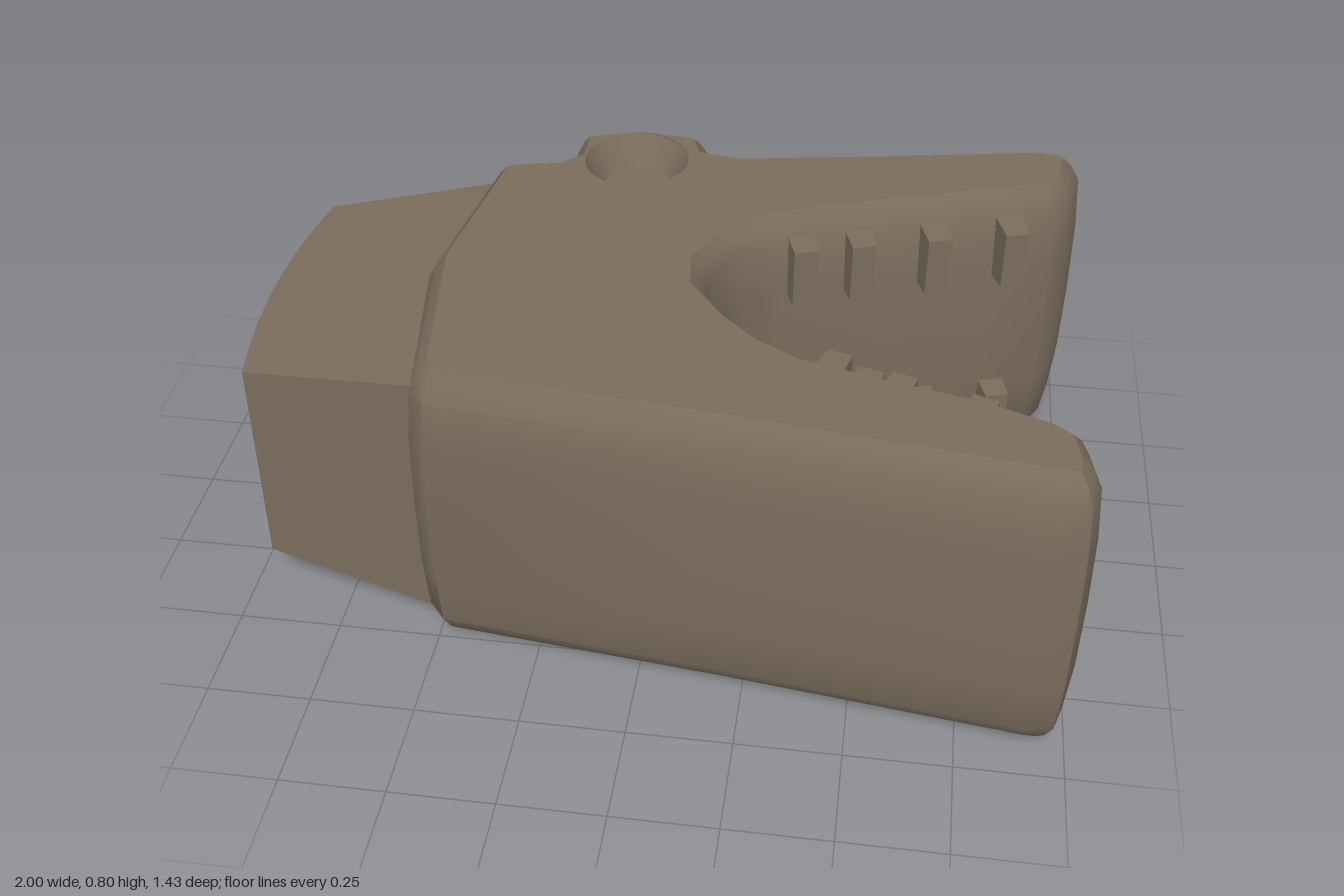
import * as THREE from 'three';
import { toCreasedNormals } from 'three/addons/utils/BufferGeometryUtils.js';

const HOLE = { x: -0.16, z: -0.51, rim: 0.135, floor: 0.09, depth: 0.08, sides: 28 };
const LOW = 0.008, HIGH = 0.79;
const tilt = (x) => 0.015 * x; // the body rises slightly towards the jaw tips

// Plan outline of the open jaws as [x, z], counterclockwise seen from above
const OUTLINE = [
  [-0.54, 0.46], [-0.49, 0.52], [0.2, 0.61], [0.91, 0.71], [0.975, 0.695], [1.0, 0.62], [0.975, 0.5],
  [0.91, 0.445], [0.75, 0.38], [0.55, 0.33], [0.36, 0.275], [0.27, 0.22], [0.19, 0.14], [0.11, 0.03],
  [0.1, -0.05], [0.15, -0.165], [0.25, -0.235], [0.5, -0.32], [0.78, -0.41], [0.92, -0.455],
  [0.965, -0.51], [0.995, -0.65], [0.96, -0.7], [0.87, -0.72], [0.5, -0.66], [0.1, -0.6],
  [0.035, -0.61], [0.02, -0.67], [-0.03, -0.695], [-0.17, -0.715], [-0.35, -0.65],
  [-0.355, -0.545], [-0.38, -0.52], [-0.49, -0.5], [-0.54, -0.46], [-0.605, 0],
];

// Moves every outline point inwards by d
function inset(points, d) {
  const n = points.length;
  const normal = (a, b) => new THREE.Vector2(a[1] - b[1], b[0] - a[0]).normalize();
  return points.map((p, i) => {
    const v = normal(points[(i + n - 1) % n], p).add(normal(p, points[(i + 1) % n])).normalize();
    return [p[0] - v.x * d, p[1] - v.y * d];
  });
}

function bodyGeometry() {
  const n = OUTLINE.length, pos = [], index = [];
  const push = ([x, z], y) => pos.push(x, y + tilt(x), z);

  // Rounded wall: stacked outlines, tucked in near the bottom and top
  const edge = [[0, 0.06], [0.025, 0.036], [0.065, 0.014], [0.2, 0.003]];
  const layers = [
    ...edge.map(([h, d]) => [LOW + h, d]),
    [(LOW + HIGH) / 2, 0],
    ...edge.map(([h, d]) => [HIGH - h, d]).reverse(),
  ];
  layers.forEach(([y, d]) => inset(OUTLINE, d).forEach((p) => push(p, y)));
  for (let j = 0; j < layers.length - 1; j++) {
    for (let i = 0; i < n; i++) {
      const k = (i + 1) % n, a = j * n + i, b = j * n + k;
      index.push(a, b, b + n, a, b + n, a + n);
    }
  }

  // Flat top and bottom, each with the round socket opening
  const contour = inset(OUTLINE, edge[0][1]);
  const hole = Array.from({ length: HOLE.sides }, (_, i) => {
    const t = (i / HOLE.sides) * Math.PI * 2;
    return [HOLE.x + HOLE.rim * Math.sin(t), HOLE.z + HOLE.rim * Math.cos(t)];
  });
  const all = [...contour, ...hole];
  const vec = (list) => list.map(([x, z]) => new THREE.Vector2(x, z));
  const faces = THREE.ShapeUtils.triangulateShape(vec(contour), [vec(hole)]);
  for (const [y, up] of [[LOW, false], [HIGH, true]]) {
    const base = pos.length / 3;
    all.forEach((p) => push(p, y));
    for (const [a, b, c] of faces) {
      const [A, B, C] = [all[a], all[b], all[c]];
      const facesUp = (B[0] - A[0]) * (C[1] - A[1]) - (B[1] - A[1]) * (C[0] - A[0]) < 0;
      if (facesUp === up) index.push(base + a, base + b, base + c);
      else index.push(base + a, base + c, base + b);
    }
  }
  const g = new THREE.BufferGeometry();
  g.setAttribute('position', new THREE.Float32BufferAttribute(pos, 3));
  g.setIndex(index);
  return toCreasedNormals(g, 0.75);
}

// Tapered neck with a bowed rear face
function neckGeometry() {
  const g = new THREE.BoxGeometry(1, 1, 1, 1, 4, 8);
  const p = g.attributes.position;
  for (let i = 0; i < p.count; i++) {
    const rear = p.getX(i) < 0;
    const v = p.getY(i) * 2, w = p.getZ(i) * 2;
    const x = rear ? -0.945 - 0.035 * (1 - w * w) - 0.02 * (1 - v * v) * (1 - w * w) : -0.45;
    const halfZ = rear ? 0.372 : 0.462;
    const halfY = rear ? 0.272 : 0.343;
    p.setXYZ(i, x, 0.392 + v * halfY, 0.007 + w * halfZ);
  }
  return toCreasedNormals(g, 0.5);
}

// Blunt tooth pointing along +z, narrower at the tip
function toothGeometry() {
  const g = new THREE.BoxGeometry(0.075, 0.17, 0.14);
  const p = g.attributes.position;
  for (let i = 0; i < p.count; i++) {
    if (p.getZ(i) > 0) p.setXYZ(i, p.getX(i) * 0.8, p.getY(i) * 0.9, 0);
    else p.setZ(i, -0.14);
  }
  g.computeVertexNormals();
  return g;
}

export function createModel() {
  const model = new THREE.Group();
  model.name = 'openJawHead';
  const brown = new THREE.MeshStandardMaterial({ color: 0x7a6c5c, side: THREE.DoubleSide });
  brown.name = 'grey brown';
  const add = (name, geometry, parent = model) => {
    const mesh = new THREE.Mesh(geometry, brown);
    mesh.name = name;
    parent.add(mesh);
    return mesh;
  };

  add('jaws', bodyGeometry());
  add('neck', neckGeometry());

  // Shallow tapered sockets above and below the hinge lug
  const bowl = [[HOLE.rim, 0], [HOLE.floor, -HOLE.depth], [0, -HOLE.depth]].map(([x, y]) => new THREE.Vector2(x, y));
  const socket = toCreasedNormals(new THREE.LatheGeometry(bowl, HOLE.sides), 0.5);
  add('topSocket', socket).position.set(HOLE.x, HIGH + tilt(HOLE.x), HOLE.z);
  const under = add('bottomSocket', socket);
  under.position.set(HOLE.x, LOW + tilt(HOLE.x), HOLE.z);
  under.rotation.x = Math.PI;

  // Two rows of teeth on each jaw, listed by tip position
  const tooth = toothGeometry();
  const jaws = [
    { name: 'backTooth', turn: 0.28, tips: [[0.31, -0.2], [0.45, -0.245], [0.635, -0.3], [0.825, -0.355]] },
    { name: 'frontTooth', turn: Math.PI - 0.3, tips: [[0.42, 0.21], [0.495, 0.265], [0.57, 0.275], [0.75, 0.335]] },
  ];
  for (const { name, turn, tips } of jaws) {
    for (const [x, z] of tips) {
      for (const y of [0.16, 0.66]) {
        const mesh = add(name, tooth);
        mesh.position.set(x, y, z);
        mesh.rotation.y = turn;
      }
    }
  }
  return model;
}
